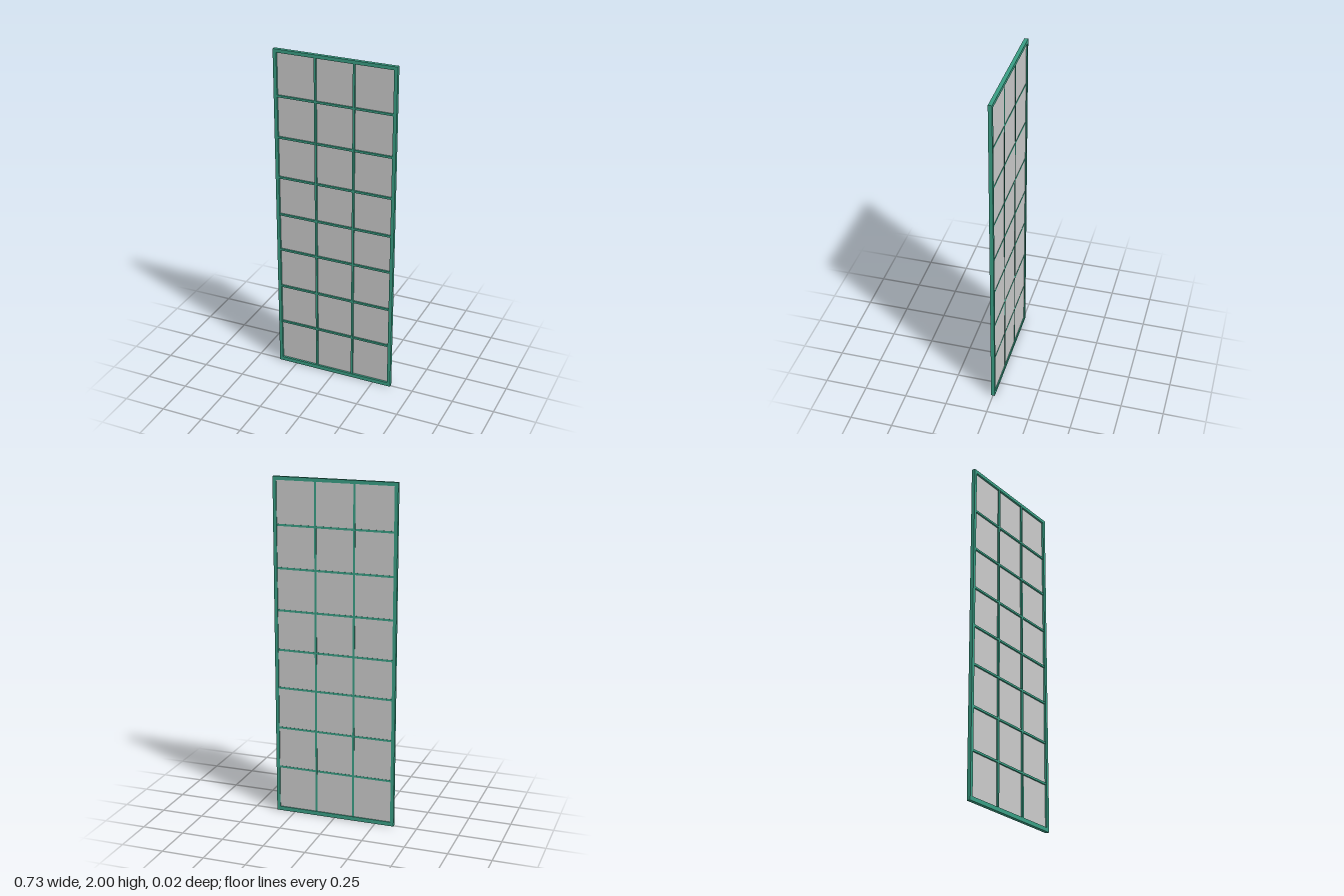
import * as THREE from 'three';

const W = 0.726, H = 2, D = 0.022;            // outer size
const SIDE = 0.02, TOP = 0.02, BOTTOM = 0.024; // frame widths
const BAR = 0.012;                            // glazing bar width

export function createModel() {
  const group = new THREE.Group();
  const green = new THREE.MeshStandardMaterial({ color: 0x3a9e84 });
  const grey = new THREE.MeshStandardMaterial({ color: 0xcccccc });

  const addBox = (name, material, size, position) => {
    const mesh = new THREE.Mesh(new THREE.BoxGeometry(...size), material);
    mesh.name = name;
    mesh.position.set(...position);
    group.add(mesh);
  };

  // Outer frame: a rectangle with one large opening
  const x = W / 2, ix = x - SIDE;
  const outline = new THREE.Shape([
    new THREE.Vector2(-x, 0), new THREE.Vector2(x, 0),
    new THREE.Vector2(x, H), new THREE.Vector2(-x, H),
  ]);
  outline.holes.push(new THREE.Path([
    new THREE.Vector2(-ix, BOTTOM), new THREE.Vector2(-ix, H - TOP),
    new THREE.Vector2(ix, H - TOP), new THREE.Vector2(ix, BOTTOM),
  ]));
  const frameGeometry = new THREE.ExtrudeGeometry(outline, { depth: D, bevelEnabled: false });
  frameGeometry.translate(0, 0, -D / 2);
  const frame = new THREE.Mesh(frameGeometry, green);
  frame.name = 'outerFrame';
  group.add(frame);

  // Glazing bars stand well proud of the panes in front and slightly behind
  const barDepth = 0.016, barZ = 0.001;
  const innerH = H - TOP - BOTTOM;
  const midY = BOTTOM + innerH / 2;
  const columns = [-0.114, 0.114];
  const rows = [0.278, 0.524, 0.77, 1.0, 1.235, 1.481, 1.728];
  for (const cx of columns) addBox('verticalBar', green, [BAR, innerH, barDepth], [cx, midY, barZ]);
  for (const cy of rows) addBox('horizontalBar', green, [2 * ix, BAR, barDepth - 0.001], [0, cy, barZ]);

  // Panes, one in each opening of the grid
  const xs = [-ix - BAR / 2, ...columns, ix + BAR / 2];
  const ys = [BOTTOM - BAR / 2, ...rows, H - TOP + BAR / 2];
  for (let i = 0; i < xs.length - 1; i++) {
    for (let j = 0; j < ys.length - 1; j++) {
      addBox('pane', grey,
        [xs[i + 1] - xs[i] - BAR, ys[j + 1] - ys[j] - BAR, 0.004],
        [(xs[i] + xs[i + 1]) / 2, (ys[j] + ys[j + 1]) / 2, -0.003]);
    }
  }
  return group;
}
